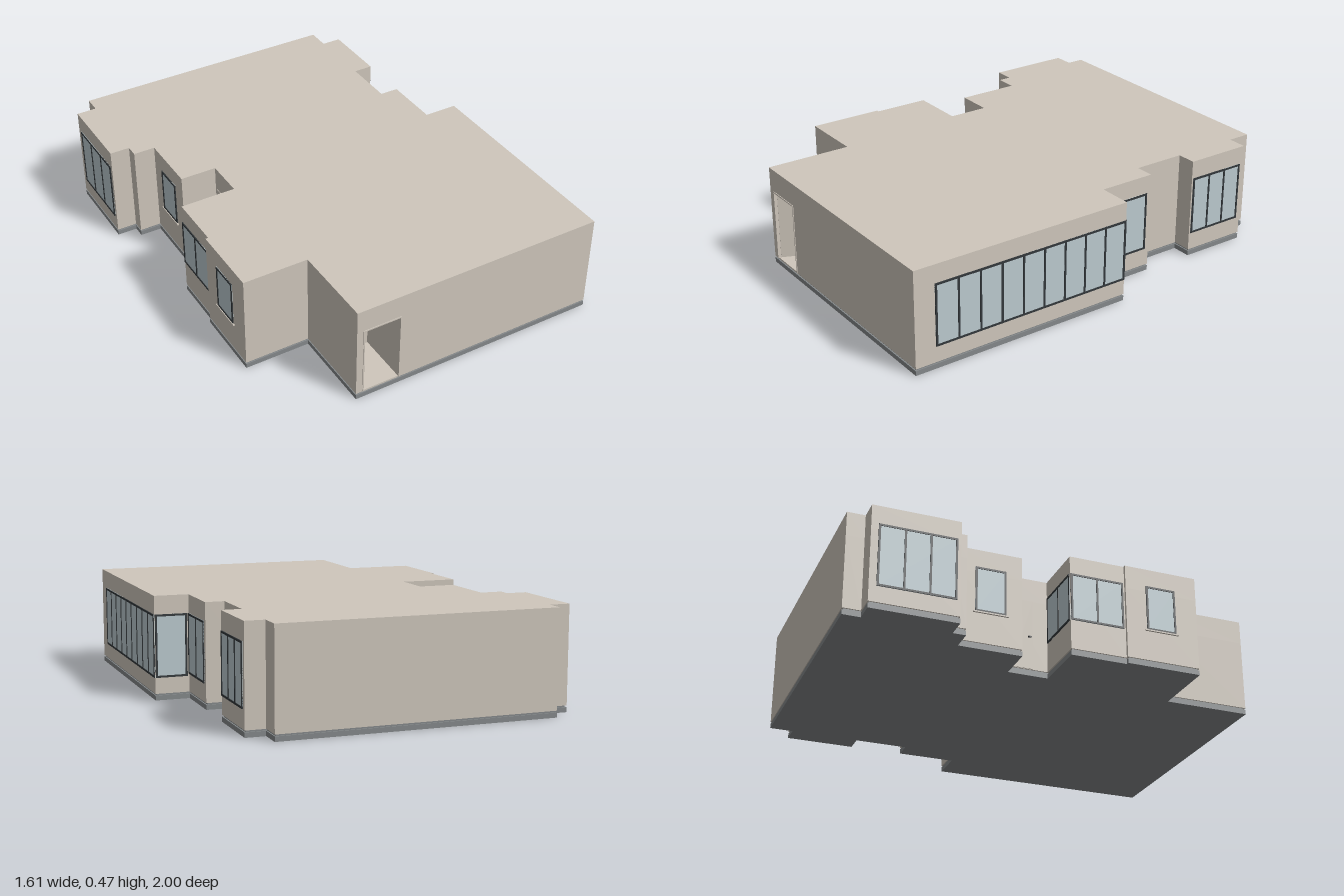
import * as THREE from 'three';

const mat = (name, color) => Object.assign(new THREE.MeshStandardMaterial({ color }), { name });

// Footprint as [x, z] corners, starting at the back
const BACK_AND_RIGHT = [
  [-0.707, -1], [0.553, -1], [0.553, -0.893], [0.643, -0.893], [0.643, -0.58],
  [0.553, -0.58], [0.553, -0.335], [0.64, -0.335], [0.64, -0.067], [0.797, -0.067], [0.797, 1],
];
const ENTRY = [[-0.195, 1], [-0.195, 0.75], [-0.37, 0.75], [-0.37, 1]];
const LEFT_SIDE = [
  [-0.405, 1], [-0.405, 0.6], [-0.71, 0.6], [-0.71, 0.258], [-0.697, 0.258], [-0.697, 0],
  [-0.437, 0], [-0.437, -0.186], [-0.606, -0.186], [-0.606, -0.474], [-0.707, -0.474],
  [-0.707, -0.532], [-0.8, -0.532], [-0.8, -0.92], [-0.707, -0.92],
];
const OUTLINE = [...BACK_AND_RIGHT, ...LEFT_SIDE];
const OUTLINE_WITH_ENTRY = [...BACK_AND_RIGHT, ...ENTRY, ...LEFT_SIDE];

// Moves every edge of a right-angled outline inwards by d
function inset(points, d) {
  const n = points.length;
  const normal = (a, b) => [-Math.sign(b[1] - a[1]) * d, Math.sign(b[0] - a[0]) * d];
  return points.map((p, i) => {
    const m1 = normal(points[(i + n - 1) % n], p);
    const m2 = normal(p, points[(i + 1) % n]);
    return [p[0] + m1[0] + m2[0], p[1] + m1[1] + m2[1]];
  });
}

// Upright prism over an outline
function prism(name, points, y0, y1, material) {
  const shape = new THREE.Shape(points.map(([x, z]) => new THREE.Vector2(x, -z)));
  const geo = new THREE.ExtrudeGeometry(shape, { depth: y1 - y0, bevelEnabled: false });
  geo.rotateX(-Math.PI / 2).translate(0, y0, 0);
  const mesh = new THREE.Mesh(geo, material);
  mesh.name = name;
  return mesh;
}

function box(name, w, h, d, x, y, z, material) {
  const mesh = new THREE.Mesh(new THREE.BoxGeometry(w, h, d), material);
  mesh.position.set(x, y, z);
  mesh.name = name;
  return mesh;
}

const TURN = { '+x': Math.PI / 2, '-x': -Math.PI / 2, '-z': Math.PI, '+z': 0 };

export function createModel() {
  const wall = mat('wall plaster', 0xcfc7bc);
  const slab = mat('base grey', 0x85898b);
  const glass = mat('window glass', 0xbccbd0);
  const frame = mat('window frame', 0x33383b);

  const model = new THREE.Group();
  model.name = 'house';

  // Base slab, shadow gap and walls
  model.add(prism('baseSlab', OUTLINE, 0, 0.022, slab));
  model.add(prism('shadowGap', inset(OUTLINE, 0.006), 0.022, 0.03, slab));
  model.add(prism('walls', OUTLINE_WITH_ENTRY, 0.03, 0.362, wall));
  model.add(prism('roofBand', OUTLINE, 0.362, 0.472, wall));

  // Entrance floor, casing and half-open door
  model.add(box('entryFloor', 0.175, 0.008, 0.244, -0.2825, 0.028, 0.874, wall));
  model.add(box('entryCasingTop', 0.183, 0.006, 0.006, -0.2825, 0.363, 1, wall));
  for (const x of [-0.372, -0.193])
    model.add(box('entryCasingSide', 0.005, 0.33, 0.006, x, 0.197, 1, wall));
  const door = new THREE.Group();
  door.name = 'frontDoor';
  door.position.set(-0.365, 0, 0.99);
  door.rotation.y = Math.atan2(0.16, 0.066);
  door.add(box('doorLeaf', 0.17, 0.32, 0.008, 0.085, 0.197, 0, wall));
  door.add(box('doorHandle', 0.016, 0.005, 0.018, 0.158, 0.185, 0, frame));
  model.add(door);

  // Side door in the left recess
  model.add(box('sideDoor', 0.006, 0.33, 0.1, -0.437, 0.197, -0.12, wall));
  model.add(box('sideDoorHandle', 0.012, 0.005, 0.014, -0.442, 0.185, -0.085, frame));

  // Window: glass plate, outer frame and mullions, with local +z pointing outwards
  function addWindow(name, facing, x, z, width, y0, y1, panes, trim = false) {
    const g = new THREE.Group();
    const h = y1 - y0, t = 0.009;
    g.name = name;
    g.position.set(x, (y0 + y1) / 2, z);
    g.rotation.y = TURN[facing];
    g.add(box('glass', width, h, 0.003, 0, 0, 0.0005, glass));
    for (const s of [-1, 1])
      g.add(box('frameRail', width, t, 0.007, 0, s * (h - t) / 2, 0.001, frame));
    for (let i = 0; i <= panes; i++)
      g.add(box('mullion', t, h, 0.0072, -(width - t) / 2 + (i * (width - t)) / panes, 0, 0.001, frame));
    if (trim) g.add(box('sill', width + 0.02, 0.006, 0.012, 0, -h / 2 - 0.003, 0.002, wall));
    model.add(g);
  }

  // Right side
  addWindow('longWindow', '+x', 0.797, 0.419, 0.968, 0.103, 0.388, 9);
  addWindow('cornerReturnWindow', '-z', 0.722, -0.067, 0.146, 0.103, 0.388, 1);
  addWindow('middleWindow', '+x', 0.64, -0.191, 0.246, 0.113, 0.388, 2);
  addWindow('rightBayWindow', '+x', 0.643, -0.729, 0.284, 0.113, 0.388, 3);

  // Left side
  addWindow('leftBayWindow', '-x', -0.8, -0.718, 0.34, 0.103, 0.388, 3);
  addWindow('smallBackWindow', '-x', -0.606, -0.33, 0.14, 0.175, 0.388, 1, true);
  addWindow('cornerWindowBack', '-z', -0.57, 0, 0.248, 0.165, 0.388, 2);
  addWindow('cornerWindowSide', '-x', -0.697, 0.126, 0.248, 0.165, 0.388, 2);
  addWindow('smallFrontWindow', '-x', -0.71, 0.425, 0.14, 0.175, 0.388, 1, true);

  return model;
}
